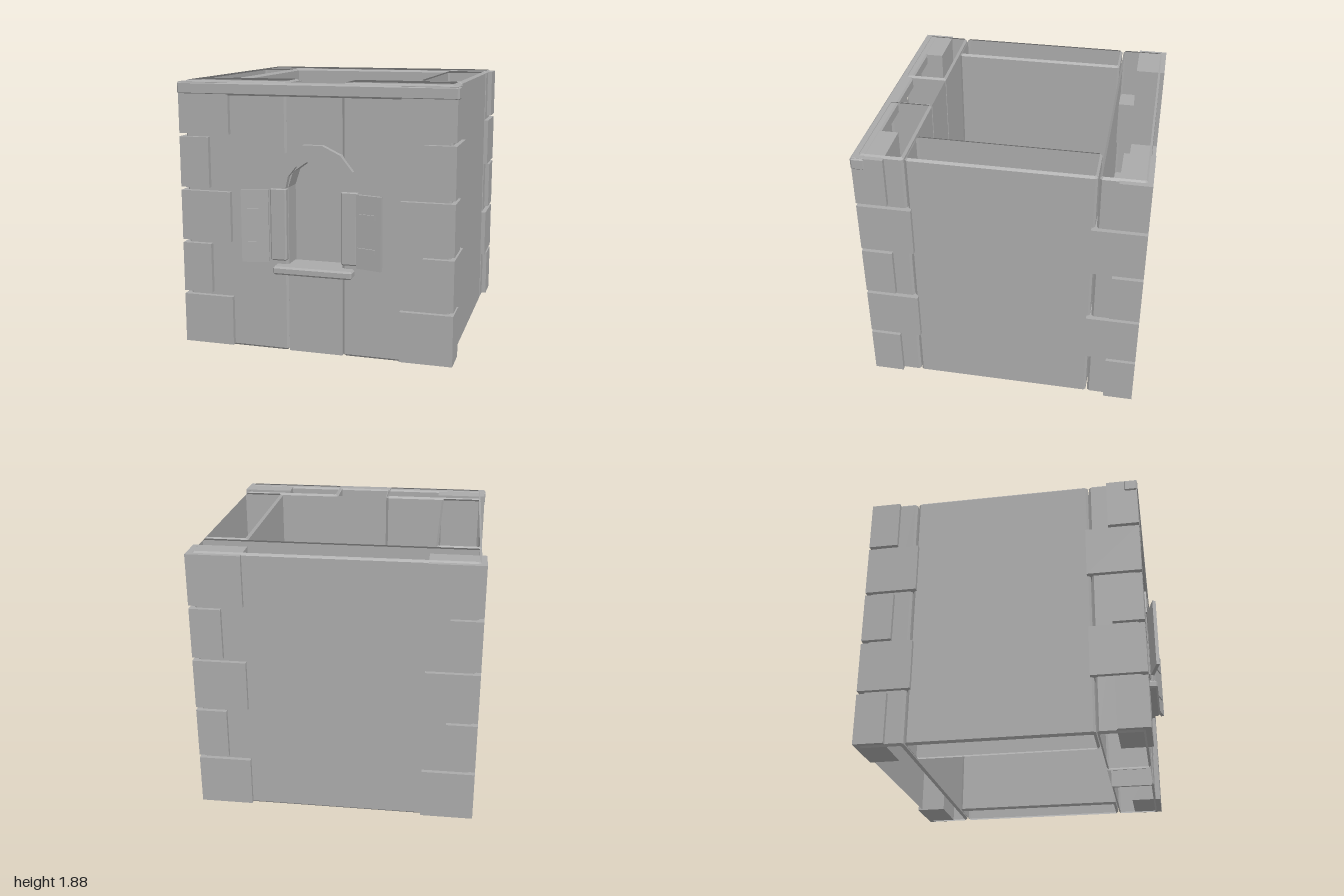
import * as THREE from 'three';

const stone = new THREE.MeshStandardMaterial({ color: 0xaaaaaa, side: THREE.DoubleSide });
stone.name = 'grey stone';

const ARCH_Y = 1.16; // springing line of the arch
const HEIGHT = 1.875;

// Box with chamfered edges; without caps it is a hollow shell, open above and below
function chamferBox(x0, x1, y0, y1, z0, z1, b = 0.012, caps = true) {
  const ring = (y, i) => {
    const a = x0 + i, c = x1 - i, d = z0 + i, e = z1 - i, k = b - i * 0.5;
    return [[a + k, e], [c - k, e], [c, e - k], [c, d + k], [c - k, d], [a + k, d], [a, d + k], [a, e - k]]
      .map(([x, z]) => [x, y, z]);
  };
  const rings = [ring(y0, b), ring(y0 + b, 0), ring(y1 - b, 0), ring(y1, b)];
  const pos = [];
  const tri = (...pts) => pts.forEach((p) => pos.push(...p));
  for (let r = 0; r < 3; r++) {
    for (let i = 0; i < 8; i++) {
      const j = (i + 1) % 8, lo = rings[r], hi = rings[r + 1];
      tri(lo[i], lo[j], hi[j]);
      tri(lo[i], hi[j], hi[i]);
    }
  }
  if (caps) {
    for (let i = 1; i < 7; i++) {
      tri(rings[3][0], rings[3][i], rings[3][i + 1]);
      tri(rings[0][0], rings[0][i + 1], rings[0][i]);
    }
  }
  const g = new THREE.BufferGeometry();
  g.setAttribute('position', new THREE.Float32BufferAttribute(pos, 3));
  g.computeVertexNormals();
  return g;
}

function block(x0, x1, y0, y1, z0, z1) {
  const g = new THREE.BoxGeometry(x1 - x0, y1 - y0, z1 - z0);
  return g.translate((x0 + x1) / 2, (y0 + y1) / 2, (z0 + z1) / 2);
}

// Points of a half circle from right to left
function arc(radius, segments) {
  return Array.from({ length: segments + 1 }, (_, i) => {
    const t = (Math.PI * i) / segments;
    return new THREE.Vector2(radius * Math.cos(t), ARCH_Y + radius * Math.sin(t));
  });
}

export function createModel() {
  const model = new THREE.Group();
  model.name = 'tower storey';
  const add = (name, geometry, parent = model) => {
    const mesh = new THREE.Mesh(geometry, stone);
    mesh.name = name;
    parent.add(mesh);
    return mesh;
  };

  // Hollow wall shells
  add('backWall', chamferBox(-0.93, 0.93, 0, HEIGHT, -0.97, -0.67, 0.015, false));
  for (const s of [-1, 1]) {
    const side = s > 0 ? 'left' : 'right';
    const span = (a, b) => (s > 0 ? [a, b] : [-b, -a]);
    add(side + 'Wall', chamferBox(...span(0.63, 0.93), 0, HEIGHT, -0.66, 0.578, 0.015, false));
    add(side + 'FrontWall', chamferBox(...span(0.195, 0.93), 0, HEIGHT, 0.585, 0.89, 0.015, false));

    // Corner stones, alternating long and short
    for (let row = 0; row < 5; row++) {
      const long = row % 2 === 0;
      const y = 0.012 + row * 0.375;
      const xs = span(long ? 0.598 : 0.75, 0.962);
      add(side + 'FrontQuoin', block(...xs, y, y + 0.352, long ? 0.712 : 0.555, 0.925));
      add(side + 'BackQuoin', block(...xs, y, y + 0.352, -1, long ? -0.793 : -0.637));
    }

    // Window jamb and the cheek of the window bay
    add(side + 'Jamb', chamferBox(...span(0.192, 0.308), 0.655, ARCH_Y, 0.86, 0.925, 0.01));
    add(side + 'Cheek', block(...span(0.188, 0.193), 0, HEIGHT - 0.01, 0.585, 0.88));

    // Open shutter with two straps
    const shutter = new THREE.Group();
    shutter.name = side + 'Shutter';
    shutter.position.set(s * 0.4, 0.9, 0.964);
    shutter.rotation.y = -s * 0.25;
    add('shutterPanel', block(-0.093, 0.093, -0.25, 0.25, -0.012, 0.012), shutter);
    for (const y of [-0.12, 0.11]) {
      add('shutterStrap', block(...span(-0.08, 0.052), y - 0.015, y + 0.015, 0.01, 0.021), shutter);
    }
    model.add(shutter);
  }

  // Window bay: faces above and below the opening, inside and out
  const above = new THREE.Shape([
    new THREE.Vector2(0.19, HEIGHT - 0.01), new THREE.Vector2(-0.19, HEIGHT - 0.01),
    ...arc(0.188, 5).reverse(),
  ]);
  for (const [name, z] of [['outer', 0.885], ['inner', 0.585]]) {
    const upper = new THREE.ShapeGeometry(above);
    const lower = new THREE.PlaneGeometry(0.38, 0.6).translate(0, 0.3, 0);
    for (const g of [upper, lower]) {
      if (name === 'inner') g.rotateY(Math.PI);
      g.translate(0, 0, z);
    }
    add(name + 'FaceAbove', upper);
    add(name + 'FaceBelow', lower);
  }

  // Curved underside of the arched opening
  const vault = new THREE.CylinderGeometry(0.188, 0.188, 0.3, 5, 1, true, -Math.PI / 2, Math.PI).toNonIndexed();
  vault.rotateX(-Math.PI / 2);
  vault.computeVertexNormals();
  vault.translate(0, ARCH_Y, 0.735);
  add('vault', vault);

  // Recessed panel, floor and projecting sill
  add('windowPanel', block(-0.19, 0.19, 0.58, 1.42, 0.715, 0.73));
  add('windowFloor', block(-0.19, 0.19, 0.58, 0.6, 0.585, 0.88));
  add('sill', chamferBox(-0.28, 0.28, 0.568, 0.625, 0.74, 0.972));

  // Arch surround
  const ringShape = new THREE.Shape([...arc(0.308, 7), ...arc(0.192, 7).reverse()]);
  const surround = new THREE.ExtrudeGeometry(ringShape, { depth: 0.065, bevelEnabled: false });
  add('archSurround', surround.translate(0, 0, 0.865));

  // Cornice along the front
  add('cornice', chamferBox(-0.97, 0.97, 1.778, 1.866, 0.833, 0.93));

  return model;
}
